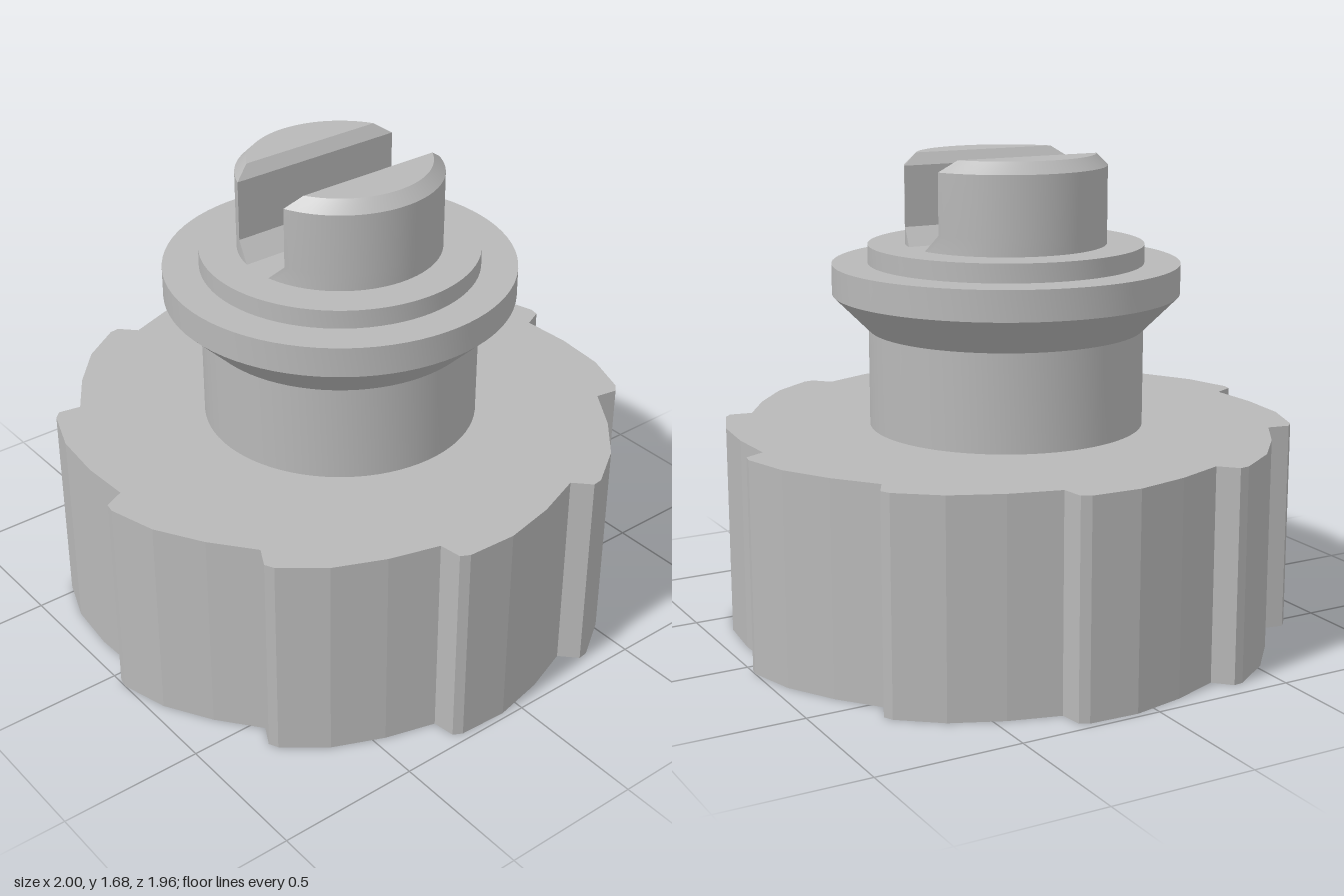
import * as THREE from 'three';
import { toCreasedNormals } from 'three/addons/utils/BufferGeometryUtils.js';

const TEETH = 10;
const BASE_TOP = 0.74;
const STEP_TOP = 1.375;

// Ratchet-edged disc: every tooth swells outward, then drops into a notch
function ratchetGeometry() {
  const tooth = [[0, 0.922], [11, 0.947], [22, 0.982], [32, 1.002], [34, 0.994]]; // degrees, radius
  const points = [];
  for (let t = 0; t < TEETH; t++) {
    for (const [deg, r] of tooth) {
      const a = THREE.MathUtils.degToRad(deg + t * 360 / TEETH);
      points.push(new THREE.Vector2(r * Math.cos(a), r * Math.sin(a)));
    }
  }
  const geometry = new THREE.ExtrudeGeometry(new THREE.Shape(points), { depth: BASE_TOP, bevelEnabled: false });
  return geometry.rotateX(Math.PI / 2).translate(0, BASE_TOP, 0);
}

// Half-round prong lofted from circle segments, chamfered at the rim and along the slot
function prongGeometry() {
  const levels = [ // height, radius, distance of slot wall from centre
    [STEP_TOP, 0.35, 0.06], [1.435, 0.35, 0.125], [1.645, 0.35, 0.125], [1.685, 0.31, 0.155],
  ];
  const n = 40, ring = n + 1;
  const positions = [], index = [];
  for (const [y, r, wall] of levels) {
    const start = Math.asin(wall / r);
    for (let i = 0; i <= n; i++) {
      const a = start + (Math.PI - 2 * start) * i / n;
      positions.push(r * Math.cos(a), y, r * Math.sin(a));
    }
  }
  for (let j = 0; j < levels.length - 1; j++) {
    for (let i = 0; i < ring; i++) {
      const a = j * ring + i, b = j * ring + (i + 1) % ring;
      index.push(a, a + ring, b, b, a + ring, b + ring);
    }
  }
  const top = (levels.length - 1) * ring;
  for (let i = 1; i < n; i++) index.push(top, top + i + 1, top + i);
  const geometry = new THREE.BufferGeometry();
  geometry.setAttribute('position', new THREE.Float32BufferAttribute(positions, 3));
  geometry.setIndex(index);
  return toCreasedNormals(geometry.toNonIndexed(), 0.4);
}

export function createModel() {
  const group = new THREE.Group();
  group.name = 'slottedKnob';
  const grey = new THREE.MeshStandardMaterial({ color: 0xb8b8b8 });
  grey.name = 'grey';

  const add = (name, geometry) => {
    const mesh = new THREE.Mesh(geometry, grey);
    mesh.name = name;
    group.add(mesh);
    return mesh;
  };

  add('ratchetBase', ratchetGeometry());

  // Neck, flared flange and step in one turned profile
  const profile = [
    [0.48, BASE_TOP], [0.48, 1.08], [0.605, 1.205], [0.605, 1.31],
    [0.48, 1.31], [0.48, STEP_TOP], [0, STEP_TOP],
  ].map(([r, y]) => new THREE.Vector2(r, y));
  add('neckAndFlange', toCreasedNormals(new THREE.LatheGeometry(profile, 80).toNonIndexed(), 0.4));

  // Two prongs facing each other across the slot
  const prong = prongGeometry();
  add('frontProng', prong);
  add('backProng', prong).rotation.y = Math.PI;

  return group;
}
